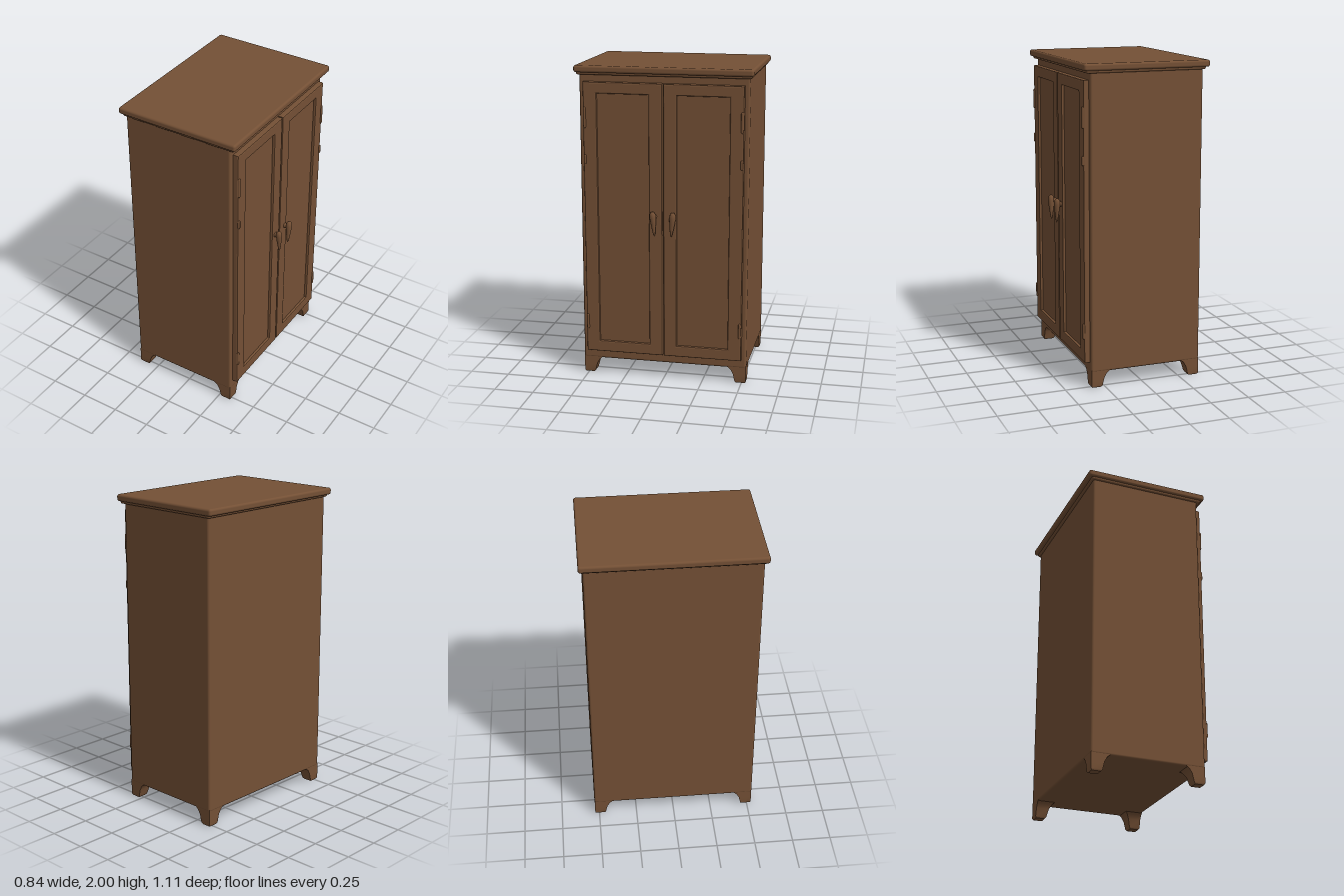
import * as THREE from 'three';
import { RoundedBoxGeometry } from 'three/addons/geometries/RoundedBoxGeometry.js';

const wood = new THREE.MeshStandardMaterial({ color: 0x745035 });
wood.name = 'brown wood';

function add(parent, name, geometry, x = 0, y = 0, z = 0) {
  const mesh = new THREE.Mesh(geometry, wood);
  mesh.name = name;
  mesh.position.set(x, y, z);
  parent.add(mesh);
  return mesh;
}

// Rounded box given by its lower and upper corners
function block(parent, name, a, b, radius) {
  const size = b.map((v, i) => v - a[i]);
  const mid = b.map((v, i) => (v + a[i]) / 2);
  return add(parent, name, new RoundedBoxGeometry(...size, 3, radius), ...mid);
}

// Foot: outer faces upright, inner faces flaring out towards the top
function footGeometry(sx, sz) {
  const levels = [[0, 0.065], [0.01, 0.073], [0.06, 0.085], [0.09, 0.102], [0.112, 0.13]];
  const g = new THREE.BoxGeometry(1, 1, 1, 1, levels.length - 1, 1);
  const p = g.attributes.position;
  for (let i = 0; i < p.count; i++) {
    const [y, w] = levels[Math.round((p.getY(i) + 0.5) * (levels.length - 1))];
    const inset = y === 0 ? 0.008 : 0.002;
    const across = (v, s) => (v * s > 0 ? -s * inset : -s * w);
    p.setXYZ(i, across(p.getX(i), sx), y, across(p.getZ(i), sz));
  }
  g.computeVertexNormals();
  return g;
}

function rectangle(path, x0, y0, x1, y1) {
  path.moveTo(x0, y0);
  path.lineTo(x1, y0);
  path.lineTo(x1, y1);
  path.lineTo(x0, y1);
  path.closePath();
  return path;
}

// Door frame with a bevelled opening, a sunk panel and a hanging pull
function door(side) {
  const group = new THREE.Group();
  group.name = side > 0 ? 'leftDoor' : 'rightDoor';

  const span = (a, b) => [Math.min(-side * a, -side * b), Math.max(-side * a, -side * b)];
  const [o0, o1] = span(0.004, 0.5);
  const [h0, h1] = span(0.088, 0.414);
  const shape = rectangle(new THREE.Shape(), o0, 0.16, o1, 1.9);
  shape.holes.push(rectangle(new THREE.Path(), h0, 0.232, h1, 1.83));
  const frame = new THREE.ExtrudeGeometry(shape, {
    depth: 0.032, bevelThickness: 0.008, bevelSize: 0.008, bevelOffset: -0.008, bevelSegments: 2,
  });
  frame.rotateY(Math.PI / 2);
  add(group, 'doorFrame', frame, 0.335);

  add(group, 'doorPanel', new THREE.BoxGeometry(0.03, 1.62, 0.35), 0.343, 1.03, side * 0.25);

  // Hinge barrels on the outer edge
  for (const [y, h] of [[1.68, 0.13], [1.42, 0.06], [0.36, 0.1]]) {
    add(group, 'hinge', new THREE.CapsuleGeometry(0.009, h - 0.018, 3, 8), 0.374, y, side * 0.49);
  }

  // Pull: short stem and a tapering drop
  const z = side > 0 ? 0.053 : -0.065;
  const stem = new THREE.CylinderGeometry(0.013, 0.018, 0.04, 10);
  stem.rotateZ(-Math.PI / 2);
  add(group, 'handleStem', stem, 0.385, 1.075, z);
  const profile = [[0, 0.955], [0.007, 0.965], [0.013, 1.0], [0.019, 1.04], [0.023, 1.075],
    [0.02, 1.098], [0.011, 1.11], [0, 1.113]].map(([r, y]) => new THREE.Vector2(r, y - 1.035));
  const drop = add(group, 'handleDrop', new THREE.LatheGeometry(profile, 10), 0.404, 1.035, z);
  drop.scale.set(0.85, 1, 0.9);
  drop.rotation.x = side * 0.08;
  return group;
}

export function createModel() {
  const model = new THREE.Group();
  model.name = 'wardrobe';

  block(model, 'cabinetBody', [-0.382, 0.1, -0.53], [0.34, 1.97, 0.53], 0.014);

  // Overhanging top board with a moulding below
  block(model, 'topBoard', [-0.418, 1.957, -0.555], [0.385, 2, 0.555], 0.014);
  block(model, 'topMoulding', [-0.396, 1.942, -0.542], [0.366, 1.975, 0.542], 0.01);

  for (const sx of [-1, 1]) {
    for (const sz of [-1, 1]) {
      add(model, 'foot', footGeometry(sx, sz), sx > 0 ? 0.34 : -0.382, 0, sz * 0.53);
    }
  }

  model.add(door(1), door(-1));
  return model;
}
